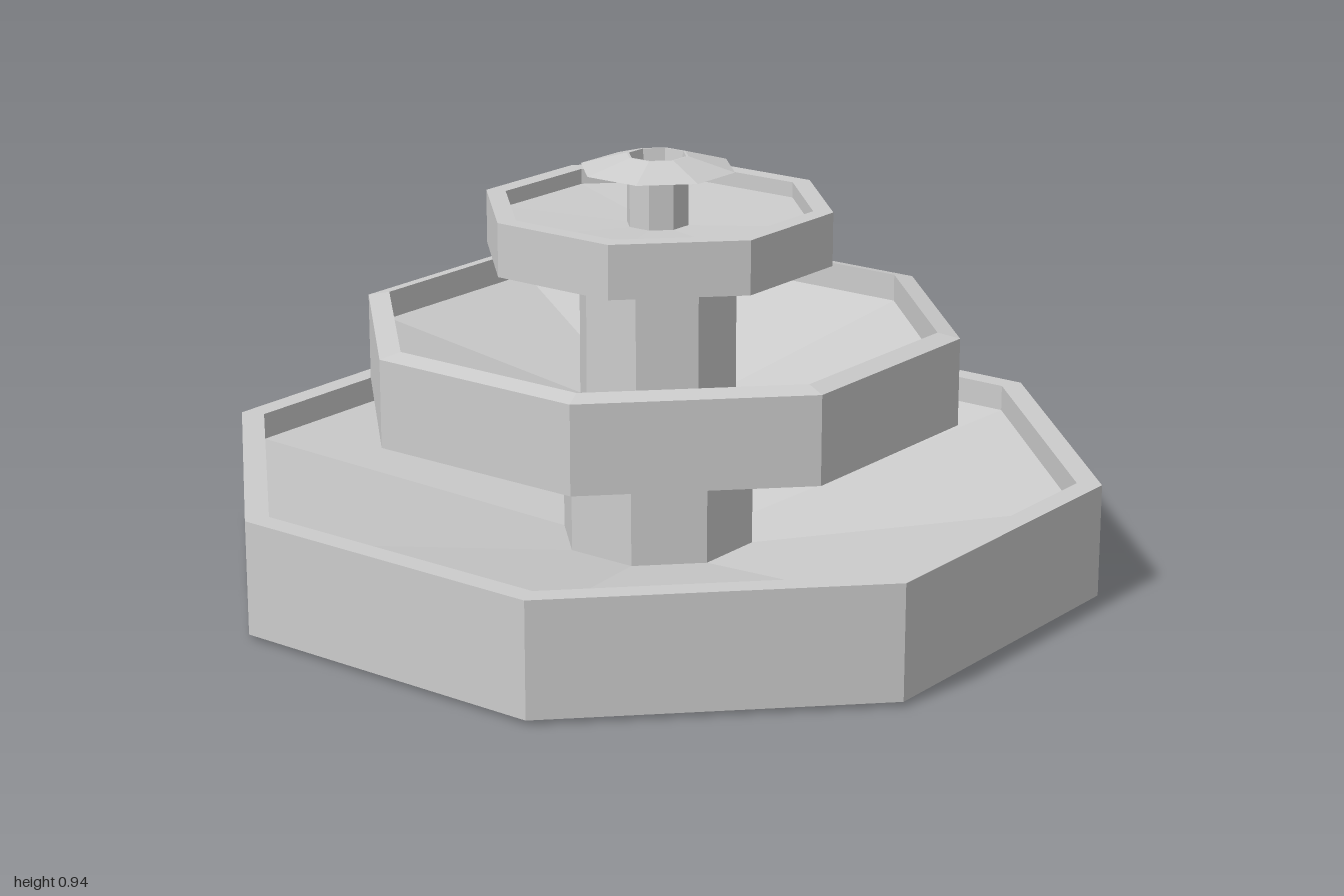
import * as THREE from 'three';

const SIDES = 8;

export function createModel() {
  const group = new THREE.Group();
  group.name = 'tieredFountain';
  const stone = new THREE.MeshStandardMaterial({
    color: 0xcccccc, flatShading: true, side: THREE.DoubleSide,
  });

  // Turns a [radius, height] profile, listed from the bottom up, into an octagonal part
  function turned(name, profile) {
    const points = profile.map(([r, y]) => new THREE.Vector2(r, y));
    const mesh = new THREE.Mesh(new THREE.LatheGeometry(points, SIDES), stone);
    mesh.name = name;
    group.add(mesh);
  }

  // Wide ground basin with a shallow sloping floor
  turned('basin', [
    [0, 0], [0.56, 0], [1, 0.01], [1, 0.265], [0.945, 0.265],
    [0.945, 0.205], [0.22, 0.06],
  ]);

  // Column carrying the middle bowl
  turned('lowerColumn', [[0.22, 0.06], [0.22, 0.25]]);

  // Middle bowl: tapered underside, upright wall, slightly bevelled rim
  turned('middleBowl', [
    [0.22, 0.247], [0.445, 0.375], [0.68, 0.375], [0.68, 0.572],
    [0.63, 0.582], [0.63, 0.52], [0.18, 0.38],
  ]);

  // Column carrying the top bowl
  turned('upperColumn', [[0.18, 0.38], [0.18, 0.71]]);

  // Small top bowl
  turned('topBowl', [
    [0.18, 0.706], [0.28, 0.708], [0.395, 0.715], [0.395, 0.835],
    [0.35, 0.835], [0.35, 0.80], [0.07, 0.785],
  ]);

  // Spout with a recessed mouth
  turned('spout', [[0.07, 0.785], [0.07, 0.94], [0.065, 0.94], [0.06, 0.905], [0, 0.905]]);

  // Thin flared cap around the mouth of the spout
  turned('spoutCap', [[0.175, 0.91], [0.07, 0.94]]);

  return group;
}
